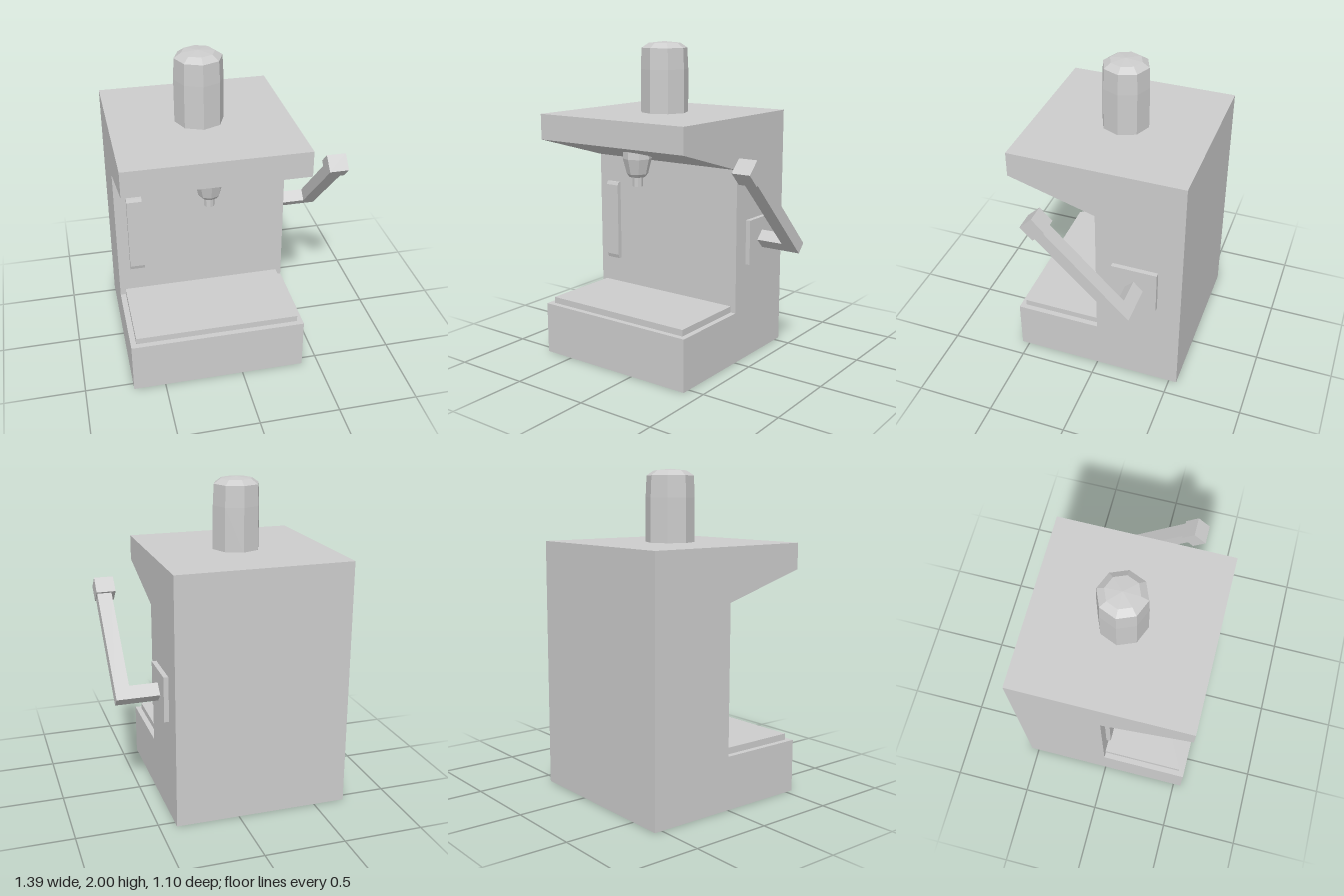
import * as THREE from 'three';

export function createModel() {
  const model = new THREE.Group();
  model.name = 'coffeeMachine';
  const grey = new THREE.MeshStandardMaterial({ color: 0xcccccc, flatShading: true });
  grey.name = 'light grey';

  const add = (name, geometry, parent = model) => {
    const mesh = new THREE.Mesh(geometry, grey);
    mesh.name = name;
    parent.add(mesh);
    return mesh;
  };
  // Box given by its lower and upper corners
  const box = (x0, x1, y0, y1, z0, z1) =>
    new THREE.BoxGeometry(x1 - x0, y1 - y0, z1 - z0)
      .translate((x0 + x1) / 2, (y0 + y1) / 2, (z0 + z1) / 2);
  // Eight-sided turned part from [radius, height] pairs, bottom to top
  const turned = (profile, x, z) =>
    new THREE.LatheGeometry(profile.map(p => new THREE.Vector2(...p)), 8).translate(x, 0, z);
  // Side profile of [z, y] pairs, swept from x0 to x1
  const swept = (profile, x0, x1) =>
    new THREE.ExtrudeGeometry(
      new THREE.Shape(profile.map(([z, y]) => new THREE.Vector2(-z, y))),
      { depth: x1 - x0, bevelEnabled: false }
    ).rotateY(Math.PI / 2).translate(x0, 0, 0);

  // C-shaped housing with a sloped underside on the overhang
  add('housing', swept([
    [-0.55, 0], [0.55, 0], [0.55, 0.33], [0, 0.33],
    [0, 1.24], [0.55, 1.4], [0.55, 1.56], [-0.55, 1.56]
  ], -0.7, 0.395));

  add('dripTray', box(-0.665, 0.36, 0.33, 0.37, 0, 0.515));

  // Gauge strip with sloped ends
  add('levelGauge', swept([
    [0, 0.54], [0.022, 0.54], [0.03, 0.565], [0.03, 1.045], [0.022, 1.065], [0, 1.065]
  ], -0.625, -0.53));

  // Bean canister with a shallow domed lid
  add('canister', turned([
    [0.15, 1.55], [0.15, 1.83], [0.144, 1.96], [0.1, 1.99], [0, 2]
  ], -0.153, 0));

  // Nozzle under the overhang
  add('nozzle', turned([
    [0, 1.125], [0.032, 1.125], [0.032, 1.185], [0.05, 1.185],
    [0.066, 1.205], [0.09, 1.3], [0.085, 1.38], [0, 1.38]
  ], -0.153, 0.28));

  // Crank lever on the left side, leaning forward 45 degrees
  add('leverPlate', box(0.395, 0.425, 0.625, 0.91, -0.4, -0.11));
  const lever = new THREE.Group();
  lever.name = 'lever';
  lever.position.set(0, 0.7375, -0.2875);
  lever.rotation.x = Math.PI / 4;
  model.add(lever);
  add('leverAxle', box(0.42, 0.6, 0, 0.085, -0.039, 0.039), lever);
  add('leverArm', box(0.6, 0.69, 0, 0.74, -0.039, 0.039), lever);
  add('leverHandle', box(0.575, 0.695, 0.727, 0.835, -0.054, 0.054), lever);

  return model;
}
